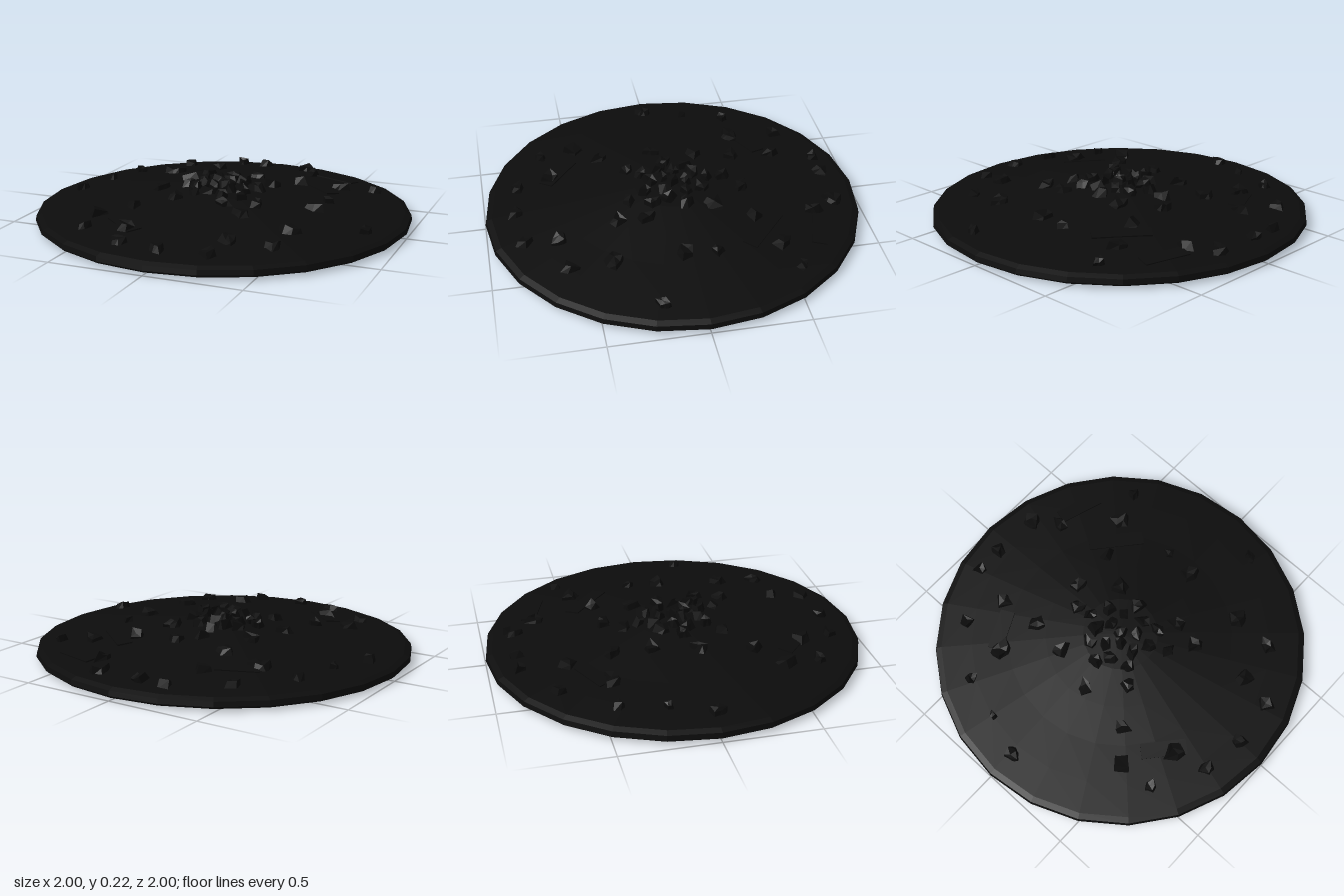
import * as THREE from 'three';

// Mound profile as [radius, height], from the underside centre round to the peak
const PROFILE = [
  [0, 0], [0.93, 0], [0.985, 0.012], [1, 0.025], [0.995, 0.05], [0.965, 0.062], [0.8, 0.08],
  [0.6, 0.102], [0.4, 0.13], [0.2, 0.158], [0, 0.172],
];

// Height of the mound's upper surface at a radius
function surfaceHeight(r) {
  for (let i = PROFILE.length - 1; i > 5; i--) {
    const [r0, y0] = PROFILE[i], [r1, y1] = PROFILE[i - 1];
    if (r <= r1) return y0 + (y1 - y0) * (r - r0) / (r1 - r0);
  }
  return 0.06;
}

function seeded(seed) {
  return () => {
    seed = (seed * 16807) % 2147483647;
    return seed / 2147483647;
  };
}

// Scattered stones as [x, z, radius]
const SCATTERED = [
  [-0.22, -0.84, 0.045], [-0.07, -0.85, 0.05], [0.18, -0.84, 0.06], [-0.49, -0.68, 0.05],
  [-0.27, -0.61, 0.065], [0.27, -0.7, 0.055], [0.51, -0.47, 0.06], [0.69, -0.53, 0.04],
  [-0.48, -0.42, 0.065], [-0.25, -0.38, 0.055], [-0.7, -0.43, 0.04], [0.06, -0.36, 0.05],
  [0.3, -0.38, 0.055], [-0.04, -0.27, 0.05], [-0.28, -0.18, 0.06], [0.2, -0.19, 0.06],
  [0.54, -0.13, 0.04], [-0.77, -0.2, 0.03], [-0.85, 0.02, 0.05], [0.52, 0.03, 0.065],
  [-0.34, 0.06, 0.055], [-0.18, 0.22, 0.05], [-0.36, 0.34, 0.05], [0.1, 0.25, 0.05],
  [0.25, 0.18, 0.06], [0.23, 0.33, 0.055], [0.51, 0.39, 0.065], [-0.5, 0.47, 0.07],
  [0.5, 0.61, 0.055], [0.28, 0.64, 0.06], [-0.27, 0.63, 0.065], [-0.49, 0.66, 0.045],
  [-0.22, 0.81, 0.05], [0, 0.84, 0.045], [0.25, 0.81, 0.055], [0.84, 0.2, 0.045],
];

// Broad flat slabs as [x, z, length, turn]
const SLABS = [[0.4, -0.4, 0.3, -0.7], [0.42, -0.7, 0.24, -0.3], [-0.4, -0.5, 0.22, 0.45], [-0.3, 0.58, 0.24, -0.7]];

export function createModel() {
  const model = new THREE.Group();
  const rand = seeded(4711);
  const material = new THREE.MeshStandardMaterial({ color: 0x0c0c0c, flatShading: true });

  // Low round mound with 24 sides
  const mound = new THREE.Mesh(
    new THREE.LatheGeometry(PROFILE.map(([r, y]) => new THREE.Vector2(r, y)), 24), material);
  mound.name = 'mound';
  model.add(mound);

  // Chipped stone: a tapered block with its corners pushed about
  function addStone(parent, name, x, z, radius, height) {
    const geometry = new THREE.CylinderGeometry(0.68, 1, 1, 4 + Math.floor(rand() * 3), 1);
    const p = geometry.attributes.position;
    const k = rand() * 6;
    for (let i = 0; i < p.count; i++) {
      const a = p.getX(i), b = p.getY(i), c = p.getZ(i);
      p.setXYZ(i, a + 0.18 * Math.sin(5 * c + k + b), b + 0.16 * Math.sin(3 * a + 2 * c + k), c + 0.18 * Math.sin(4 * a + k));
    }
    geometry.computeVertexNormals();
    const stone = new THREE.Mesh(geometry, material);
    stone.name = name;
    stone.scale.set(radius, height, radius * (0.75 + 0.25 * rand()));
    stone.rotation.set((rand() - 0.5) * 0.6, rand() * Math.PI * 2, (rand() - 0.5) * 0.6);
    stone.position.set(x, surfaceHeight(Math.hypot(x, z)), z);
    parent.add(stone);
  }

  const stones = new THREE.Group();
  stones.name = 'scatteredStones';
  SCATTERED.forEach(([x, z, r]) => addStone(stones, 'stone', x, z, r, 0.055));
  model.add(stones);

  // Tight cluster of small stones round the peak
  const cluster = new THREE.Group();
  cluster.name = 'peakStones';
  for (let i = 0; i < 18; i++) {
    const r = 0.047 * Math.sqrt(i * 1.1), a = i * 2.4;
    addStone(cluster, 'peakStone', r * Math.cos(a), r * Math.sin(a), 0.04 + 0.015 * rand(), 0.065);
  }
  model.add(cluster);

  // Nearly buried slabs following the slope
  const slabs = new THREE.Group();
  slabs.name = 'buriedSlabs';
  for (const [x, z, length, turn] of SLABS) {
    const slab = new THREE.Mesh(new THREE.BoxGeometry(length, 0.02, 0.08), material);
    const r = Math.hypot(x, z);
    const tilt = new THREE.Quaternion().setFromUnitVectors(
      new THREE.Vector3(0, 1, 0), new THREE.Vector3(0.12 * x / r, 1, 0.12 * z / r).normalize());
    slab.quaternion.setFromAxisAngle(new THREE.Vector3(0, 1, 0), turn).premultiply(tilt);
    slab.position.set(x, surfaceHeight(r) - 0.005, z);
    slab.name = 'slab';
    slabs.add(slab);
  }
  model.add(slabs);
  return model;
}
